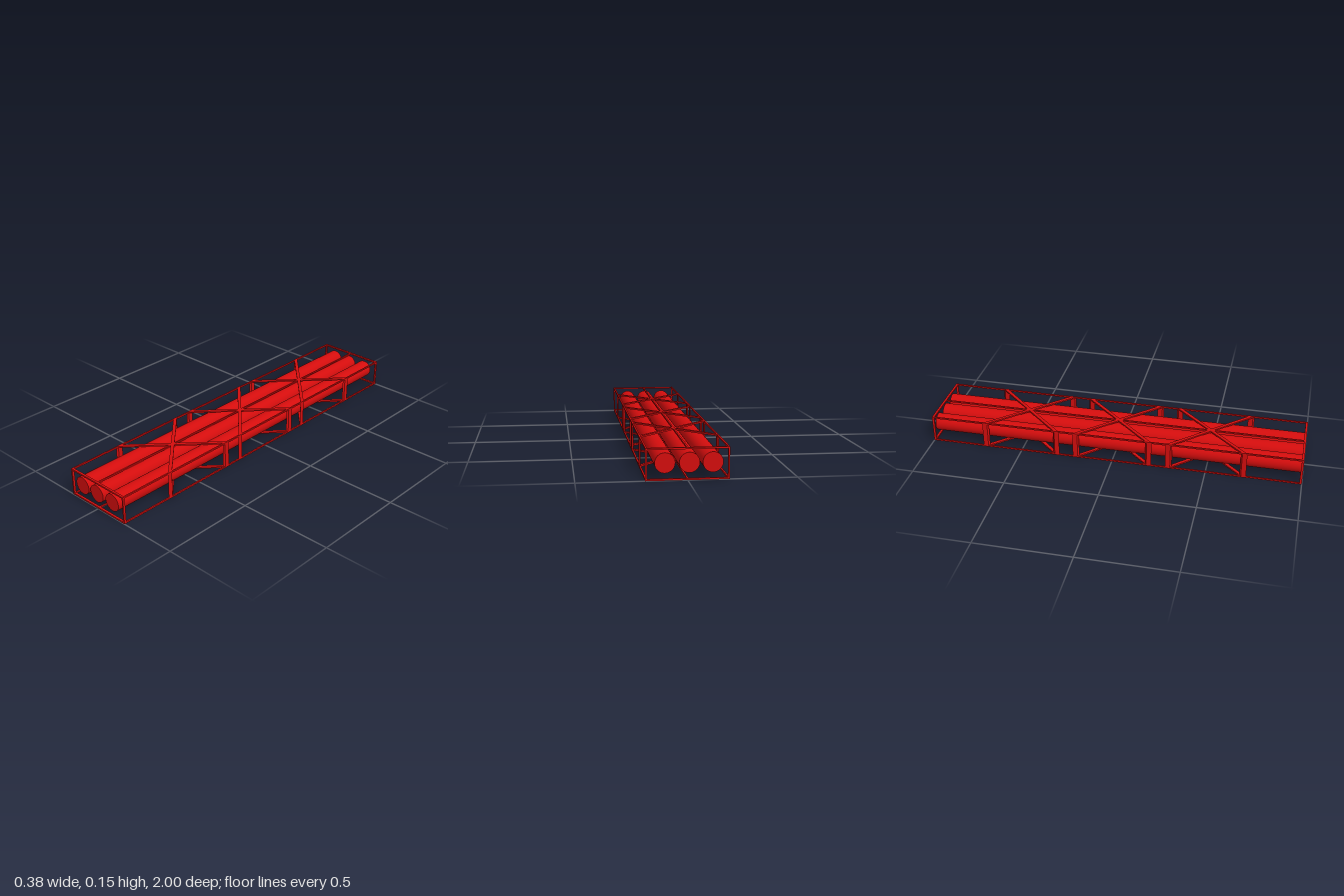
import * as THREE from 'three';

const W = 0.19;      // half width of the frame
const H = 0.148;     // height of the frame
const BAR = 0.008;   // bar thickness

// Rectangular hoop of flat bars; shear slants it across the frame
function hoop(depth, shear = 0) {
  const shape = new THREE.Shape([
    new THREE.Vector2(-W, 0), new THREE.Vector2(W, 0),
    new THREE.Vector2(W, H), new THREE.Vector2(-W, H),
  ]);
  shape.holes.push(new THREE.Path([
    new THREE.Vector2(-W + BAR, BAR), new THREE.Vector2(-W + BAR, H - BAR),
    new THREE.Vector2(W - BAR, H - BAR), new THREE.Vector2(W - BAR, BAR),
  ]));
  const geo = new THREE.ExtrudeGeometry(shape, { depth, bevelEnabled: false });
  geo.translate(0, 0, -depth / 2);
  const p = geo.attributes.position;
  for (let i = 0; i < p.count; i++) p.setZ(i, p.getZ(i) + p.getX(i) * shear);
  geo.computeVertexNormals();
  return geo;
}

export function createModel() {
  const model = new THREE.Group();
  model.name = 'tubeRack';
  const red = new THREE.MeshStandardMaterial({ color: 0xd40d0d });

  const add = (name, geo, x, y, z) => {
    const mesh = new THREE.Mesh(geo, red);
    mesh.name = name;
    mesh.position.set(x, y, z);
    model.add(mesh);
    return mesh;
  };

  // Three long tubes, slightly unevenly spaced
  const tube = new THREE.CylinderGeometry(0.0465, 0.0465, 1.99, 48);
  tube.rotateX(Math.PI / 2);
  for (const x of [-0.115, -0.009, 0.102]) add('tube', tube, x, 0.079, 0);

  // Lengthwise rails: both sides and the middle, at top and bottom
  const rail = new THREE.BoxGeometry(BAR, BAR, 2);
  for (const y of [BAR / 2, H - BAR / 2]) {
    for (const x of [-W + BAR / 2, 0, W - BAR / 2]) add('rail', rail, x, y, 0);
  }

  // Upright hoops closing both ends
  const end = hoop(0.012);
  for (const z of [-0.994, 0.994]) add('endFrame', end, 0, 0, z);

  // Crossed slanting hoops at three stations
  const slope = 0.2 / W;
  const braces = [hoop(0.026, slope), hoop(0.026, -slope)];
  for (const z of [-0.5, 0, 0.5]) {
    for (const brace of braces) add('crossBrace', brace, 0, 0, z);
  }

  return model;
}
